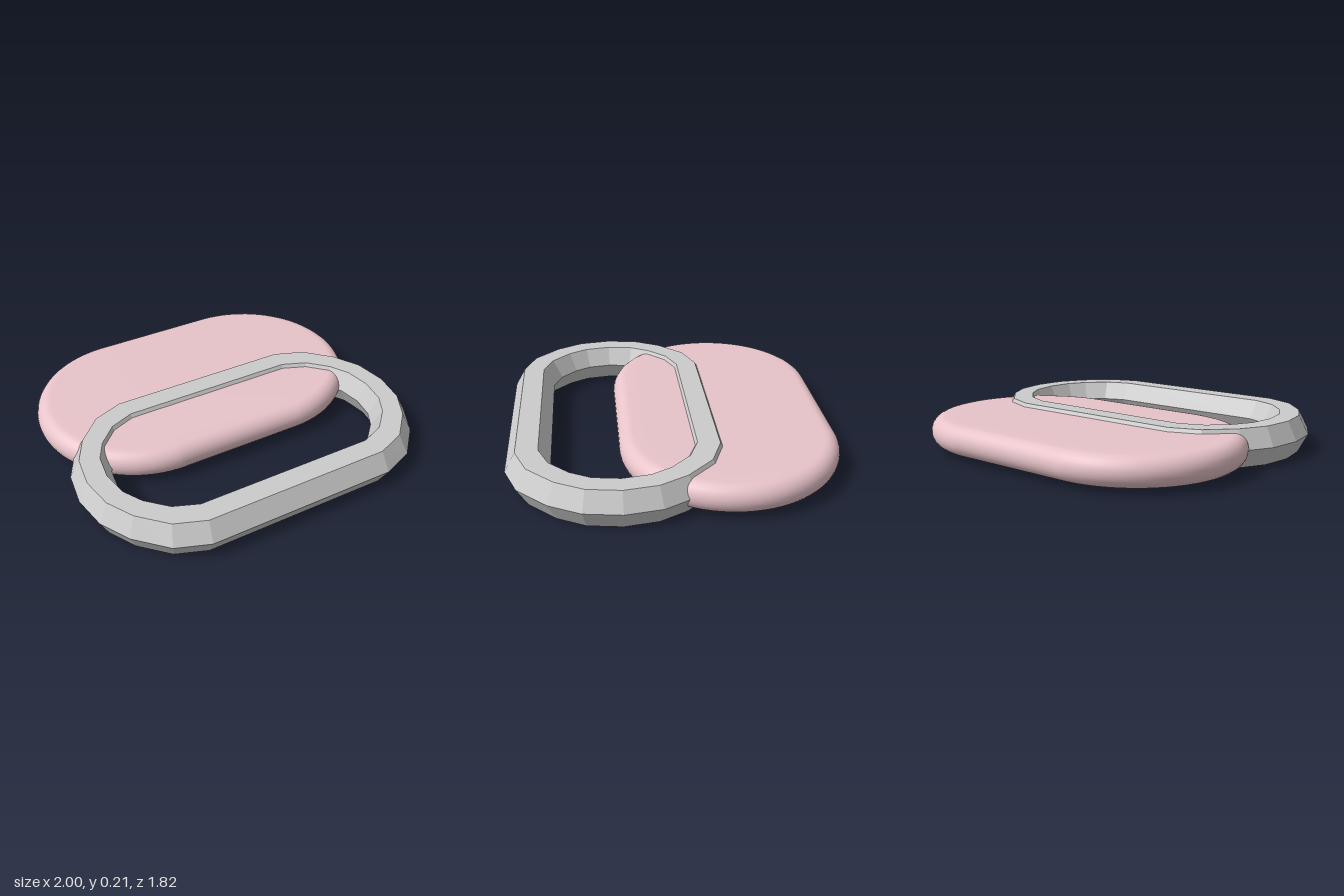
import * as THREE from 'three';

// Skins closed loops of [x, y, z] points, each loop running clockwise seen from above.
function loft(loops, closeSection) {
  const n = loops[0].length, m = loops.length, index = [];
  for (let j = 0; j < (closeSection ? m : m - 1); j++) {
    for (let i = 0; i < n; i++) {
      const a = j * n + i, b = j * n + (i + 1) % n;
      const k = ((j + 1) % m) * n;
      const c = k + i, d = k + (i + 1) % n;
      index.push(a, b, c, b, d, c);
    }
  }
  const geometry = new THREE.BufferGeometry();
  geometry.setAttribute('position', new THREE.Float32BufferAttribute(loops.flat(2), 3));
  geometry.setIndex(index);
  geometry.computeVertexNormals();
  return geometry;
}

// Mirrors a quarter outline (from +x towards +z) into a full loop.
function mirrorQuarter(q) {
  const half = [...q, ...q.slice(1).reverse().map(([x, z]) => [-x, z])];
  return [...half, [-q[0][0], 0], ...half.slice(1).reverse().map(([x, z]) => [x, -z])];
}

// Faceted oval ring with a six-sided section
function makeRing() {
  const outer = [[1, 0], [0.97, 0.2], [0.88, 0.37], [0.725, 0.53], [0.54, 0.6]];
  const inner = [[0.78, 0], [0.76, 0.13], [0.71, 0.22], [0.62, 0.31], [0.5, 0.36]];
  // [blend from inner to outer, height]
  const section = [[0.25, 0.212], [0.75, 0.212], [1, 0.106], [0.75, 0], [0.25, 0], [0, 0.106]];
  const loops = section.map(([t, y]) => {
    const quarter = inner.map(([x, z], i) => [
      THREE.MathUtils.lerp(x, outer[i][0], t),
      THREE.MathUtils.lerp(z, outer[i][1], t),
    ]);
    return mirrorQuarter(quarter).map(([x, z]) => [x, y, z]);
  });
  return new THREE.Mesh(
    loft(loops, true),
    new THREE.MeshStandardMaterial({ color: 0xcccccc, flatShading: true })
  );
}

// Smooth stadium-shaped pad with a rounded rim
function makePad() {
  const straight = 0.365, radius = 0.605, steps = 20;
  const midY = 0.108, halfHeight = 0.083, rim = 0.08;
  const section = [[0, halfHeight], [radius - rim - 0.06, halfHeight]];
  for (let k = 0; k <= 12; k++) {
    const a = Math.PI / 2 - (k / 12) * Math.PI;
    section.push([radius - rim + rim * Math.cos(a), halfHeight * Math.sin(a)]);
  }
  section.push([radius - rim - 0.06, -halfHeight], [0, -halfHeight]);
  const loops = section.map(([r, y]) => {
    const quarter = [];
    for (let i = 0; i <= steps; i++) {
      const a = (i / steps) * Math.PI / 2;
      quarter.push([straight + r * Math.cos(a), r * Math.sin(a)]);
    }
    return mirrorQuarter(quarter).map(([x, z]) => [x, midY + y, z]);
  });
  return new THREE.Mesh(
    loft(loops, false),
    new THREE.MeshStandardMaterial({ color: 0xe8c4ca })
  );
}

export function createModel() {
  const model = new THREE.Group();
  model.name = 'ringAndPad';

  const ring = makeRing();
  ring.name = 'ring';
  ring.position.z = 0.31;

  const pad = makePad();
  pad.name = 'pad';
  pad.position.z = -0.305;

  model.add(ring, pad);
  return model;
}
